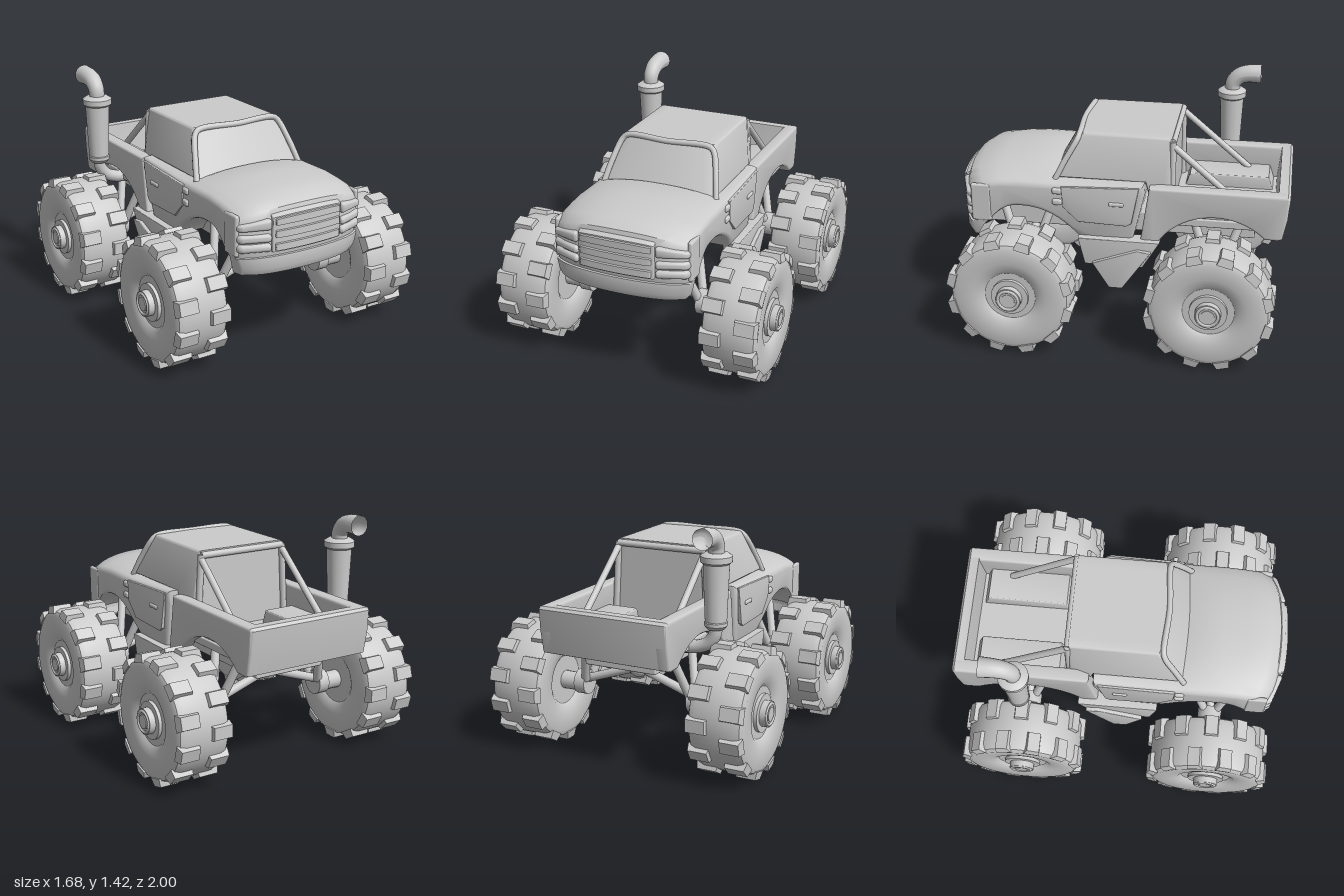
import * as THREE from 'three';
import { toCreasedNormals } from 'three/addons/utils/BufferGeometryUtils.js';
import { RoundedBoxGeometry } from 'three/addons/geometries/RoundedBoxGeometry.js';

const grey = new THREE.MeshStandardMaterial({ color: 0xcccccc, side: THREE.DoubleSide });
const V = (x, y, z) => new THREE.Vector3(x, y, z);
const smooth = THREE.MathUtils.smoothstep;

export function createModel() {
  const root = new THREE.Group();

  function add(name, geo, parent = root) {
    const m = new THREE.Mesh(geo, grey);
    m.name = name;
    parent.add(m);
    return m;
  }

  // Moves every vertex by a rule, then rebuilds the normals with sharp creases
  function reshape(geo, rule) {
    const p = geo.attributes.position, v = V(0, 0, 0);
    for (let i = 0; i < p.count; i++) {
      rule(v.fromBufferAttribute(p, i));
      p.setXYZ(i, v.x, v.y, v.z);
    }
    return toCreasedNormals(geo, 0.6);
  }

  // Side outline of [z, y] points, extruded across x and centred on x = 0
  function prism(points, half, bevel = 0.01, rule = () => {}, steps = 1) {
    const shape = new THREE.Shape(points.map(([z, y]) => new THREE.Vector2(z, y)));
    const geo = new THREE.ExtrudeGeometry(shape, {
      depth: 2 * (half - bevel), steps, bevelThickness: bevel,
      bevelSize: bevel, bevelOffset: -bevel, bevelSegments: 3,
    });
    geo.translate(0, 0, bevel - half).rotateY(-Math.PI / 2);
    return reshape(geo, rule);
  }

  const rounded = (w, h, d, r, x, y, z) => new RoundedBoxGeometry(w, h, d, 3, r).translate(x, y, z);

  function rod(name, a, b, r, parent) {
    const m = add(name, new THREE.CylinderGeometry(r, r, a.distanceTo(b), 16), parent);
    m.position.lerpVectors(a, b, 0.5);
    m.quaternion.setFromUnitVectors(V(0, 1, 0), b.clone().sub(a).normalize());
    return m;
  }

  // Wheel arch points from angle a to angle b in degrees
  function arch(zc, r, a, b, n = 18) {
    return Array.from({ length: n + 1 }, (_, i) => {
      const t = THREE.MathUtils.degToRad(a + (b - a) * i / n);
      return [zc + r * Math.cos(t), 0.376 + r * Math.sin(t)];
    });
  }

  // Crowned hood, bowed nose and tucked-in sills
  function bodyRule(v) {
    const u = Math.abs(v.x) / 0.42;
    v.y -= 0.065 * u ** 2.5 * smooth(v.y, 0.8, 0.96) * smooth(v.z, 0.25, 0.42);
    v.z -= (0.05 * u * u + 0.04 * u ** 6) * smooth(v.z, 0.6, 0.9);
    v.x *= 1 - 0.07 * smooth(0.7 - v.y, 0, 0.15);
  }

  // Front body: nose, hood, fenders, doors and sills
  add('frontBody', prism([
    [0.94, 0.57], [0.97, 0.66], [0.97, 0.88], [0.95, 0.94], [0.89, 0.98], [0.75, 0.995], [0.6, 1.005],
    [0.4, 1.0], [0.32, 0.965], [-0.15, 0.965], [-0.155, 0.9], [-0.075, 0.565], [0.17, 0.59],
    ...arch(0.585, 0.405, 148, 38), [0.89, 0.56],
  ], 0.42, 0.025, bodyRule, 14));
  add('chassis', rounded(0.46, 0.13, 1.66, 0.01, 0, 0.64, 0.03));

  // Nose trim: bumper, grille and lamps
  add('bumper', prism([[0.9, 0.55], [0.97, 0.56], [0.99, 0.6], [0.985, 0.665], [0.9, 0.67]], 0.42, 0.012, bodyRule, 14));
  add('grille', prism([[0.95, 0.69], [0.985, 0.69], [0.985, 0.9], [0.95, 0.92]], 0.23, 0.006, bodyRule, 8));
  for (const y of [0.72, 0.795, 0.87])
    add('grilleBar', prism([[0.96, y - 0.025], [0.998, y - 0.02], [0.998, y + 0.02], [0.96, y + 0.025]], 0.215, 0.006, bodyRule, 8));
  for (const s of [1, -1]) {
    for (const y of [0.72, 0.775, 0.86])
      add('headlight', reshape(rounded(0.18, y > 0.8 ? 0.075 : 0.048, 0.1, 0.02, s * 0.325, y, 0.945).toNonIndexed(), bodyRule));
    add('lampSurround', rounded(0.03, 0.24, 0.12, 0.013, s * 0.408, 0.79, 0.83));
    // Door skin, handle and hinges
    add('door', prism([[0.34, 0.93], [-0.125, 0.95], [-0.08, 0.72], [-0.05, 0.7], [0.24, 0.71], [0.33, 0.8]], 0.012, 0.006))
      .position.x = s * 0.418;
    add('doorHandle', rounded(0.03, 0.025, 0.09, 0.01, s * 0.425, 0.84, 0.01));
    for (const y of [0.83, 0.9]) add('hinge', rounded(0.05, 0.04, 0.06, 0.015, s * 0.41, y, 0.365));
  }

  // Cab: tapers upward, windscreen bowed across its width
  add('cab', prism([[0.41, 0.96], [0.265, 1.222], [-0.3, 1.222], [-0.3, 0.72], [-0.22, 0.72], [-0.15, 0.96]], 0.36, 0.015, v => {
    v.z -= 0.04 * (v.x / 0.36) ** 2 * smooth(v.z, 0.15, 0.26);
    v.x *= 1 - 0.75 * Math.max(0, v.y - 0.96);
  }, 10));
  const frame = new THREE.CatmullRomCurve3([
    V(0.36, 0.95, 0.385), V(0.335, 1.06, 0.33), V(0.295, 1.185, 0.26), V(0.265, 1.212, 0.25), V(0, 1.215, 0.265),
    V(-0.265, 1.212, 0.25), V(-0.295, 1.185, 0.26), V(-0.335, 1.06, 0.33), V(-0.36, 0.95, 0.385),
  ], false, 'centripetal');
  add('windscreenFrame', new THREE.TubeGeometry(frame, 60, 0.018, 10));

  // Cargo bed with wheel wells and tailgate
  const bedSide = prism([
    [-0.18, 0.946], [-0.985, 0.946], [-0.998, 0.93], [-0.99, 0.8], [-0.965, 0.67], [-0.94, 0.66],
    ...arch(-0.576, 0.405, 135, 24), [-0.125, 0.565],
  ], 0.042, 0.015, v => { v.x *= 1; });
  for (const s of [1, -1]) {
    add('bedSide', bedSide).position.x = s * 0.365;
    add('wheelWell', prism([[-0.89, 0.73], [-0.86, 0.82], [-0.37, 0.82], [-0.34, 0.73]], 0.105, 0.008)).position.x = s * 0.23;
    rod('bedBrace', V(s * 0.285, 1.18, -0.3), V(s * 0.29, 0.81, -0.73), 0.02);
    rod('rollBarPost', V(s * 0.285, 1.2, -0.305), V(s * 0.31, 0.74, -0.305), 0.02);
  }
  rod('rollBarTop', V(-0.285, 1.195, -0.305), V(0.285, 1.195, -0.305), 0.02);
  add('tailgate', prism([[-0.93, 0.946], [-0.985, 0.946], [-1, 0.93], [-0.99, 0.8], [-0.965, 0.67], [-0.94, 0.66], [-0.9, 0.665]], 0.4, 0.012));
  add('bedFloor', rounded(0.7, 0.05, 0.74, 0.008, 0, 0.715, -0.58));

  // Side frame brackets with a pointed lower brace
  for (const s of [1, -1]) {
    add('frameBracket', prism([[0.24, 0.61], [0.2, 0.44], [-0.15, 0.44], [-0.25, 0.61]], 0.05, 0.004)).position.x = s * 0.395;
    add('lowerBrace', prism([[0.15, 0.46], [0.05, 0.3], [-0.03, 0.3], [-0.2, 0.55], [-0.12, 0.56]], 0.05, 0.004)).position.x = s * 0.42;
  }

  // Wheel: dished tyre of revolution, hub rings, two staggered rows of lugs
  const half = [[0.001, 0.13], [0.15, 0.13], [0.175, 0.148], [0.22, 0.155], [0.31, 0.165], [0.34, 0.15], [0.353, 0.115]];
  const profile = [...half.map(([r, h]) => [r, -h]), ...half.slice().reverse()].map(([r, h]) => new THREE.Vector2(r, h));
  const tyreGeo = toCreasedNormals(new THREE.LatheGeometry(profile, 64), 0.6).rotateZ(-Math.PI / 2);
  const lugGeo = reshape(new THREE.BoxGeometry(0.135, 0.05, 0.095).toNonIndexed(), v => {
    if (v.y > 0) { v.x *= 0.85; v.z *= 0.78; }
  });
  function makeWheel(x, z) {
    const wheel = new THREE.Group();
    wheel.name = 'wheel';
    wheel.position.set(x, 0.376, z);
    if (x < 0) wheel.rotation.y = Math.PI;
    add('tyre', tyreGeo, wheel);
    for (const [r, out] of [[0.11, 0.15], [0.075, 0.187], [0.04, 0.192]]) {
      add('hub', new THREE.CylinderGeometry(r, r, 0.1, 32).rotateZ(Math.PI / 2).translate(out - 0.05, 0, 0), wheel);
    }
    add('hubRing', new THREE.TorusGeometry(0.06, 0.01, 8, 32).rotateY(Math.PI / 2).translate(0.185, 0, 0), wheel);
    for (let i = 0; i < 24; i++) {
      const a = i * Math.PI / 12;
      const lug = add('treadLug', lugGeo, wheel);
      lug.position.set(i % 2 ? 0.1 : -0.1, 0.35 * Math.cos(a), 0.35 * Math.sin(a));
      lug.rotation.x = a;
    }
    root.add(wheel);
  }

  // Axles: central ball, arms, dampers and hub carriers
  for (const z of [0.58, -0.576]) {
    const axle = new THREE.Group();
    axle.name = 'axle';
    root.add(axle);
    add('axleBall', new THREE.SphereGeometry(0.06, 24, 16).translate(0, 0.53, z), axle);
    rod('driveShaft', V(0, 0.53, z), V(0, 0.6, z - Math.sign(z) * 0.35), 0.03, axle);
    for (const s of [1, -1]) {
      makeWheel(s * 0.645, z);
      rod('axleArm', V(0, 0.53, z), V(s * 0.38, 0.4, z), 0.026, axle);
      rod('hubCarrier', V(s * 0.34, 0.385, z), V(s * 0.41, 0.385, z), 0.075, axle);
      rod('axleStub', V(s * 0.4, 0.376, z), V(s * 0.53, 0.376, z), 0.055, axle);
      for (const d of [1, -1])
        rod('damper', V(s * 0.27, 0.7, z + d * 0.14), V(s * 0.35, 0.41, z + d * 0.035), 0.026, axle);
    }
  }

  // Exhaust stack: canister, collar, feed pipe and flared bent outlet
  const stack = new THREE.Group();
  stack.name = 'exhaustStack';
  stack.position.set(-0.5, 0, -0.59);
  root.add(stack);
  const can = [[0.001, 0.83], [0.05, 0.83], [0.066, 0.85], [0.066, 0.87], [0.062, 0.875], [0.075, 1.2], [0.09, 1.212],
    [0.09, 1.245], [0.065, 1.262], [0.001, 1.265]].map(([r, y]) => new THREE.Vector2(r, y));
  add('canister', toCreasedNormals(new THREE.LatheGeometry(can, 32), 0.6), stack);
  add('feedPipe', new THREE.TubeGeometry(new THREE.CatmullRomCurve3([
    V(0, 0.86, 0), V(0.005, 0.8, 0), V(0.04, 0.745, 0), V(0.1, 0.715, 0), V(0.2, 0.7, 0),
  ]), 24, 0.038, 14), stack);
  const bend = new THREE.CatmullRomCurve3([V(0, 1.25, 0), V(0, 1.3, -0.005), V(0, 1.345, -0.045), V(0, 1.362, -0.1), V(0, 1.364, -0.18)]);
  const outlet = new THREE.TubeGeometry(bend, 24, 0.046, 20);
  const op = outlet.attributes.position;
  for (let i = 0; i < op.count; i++) {
    const t = Math.floor(i / 21) / 24, c = bend.getPointAt(t), p = V(0, 0, 0).fromBufferAttribute(op, i);
    p.sub(c).multiplyScalar(1 + 0.3 * t).add(c);
    op.setXYZ(i, p.x, p.y, p.z);
  }
  outlet.computeVertexNormals();
  add('outlet', outlet, stack);

  return root;
}
